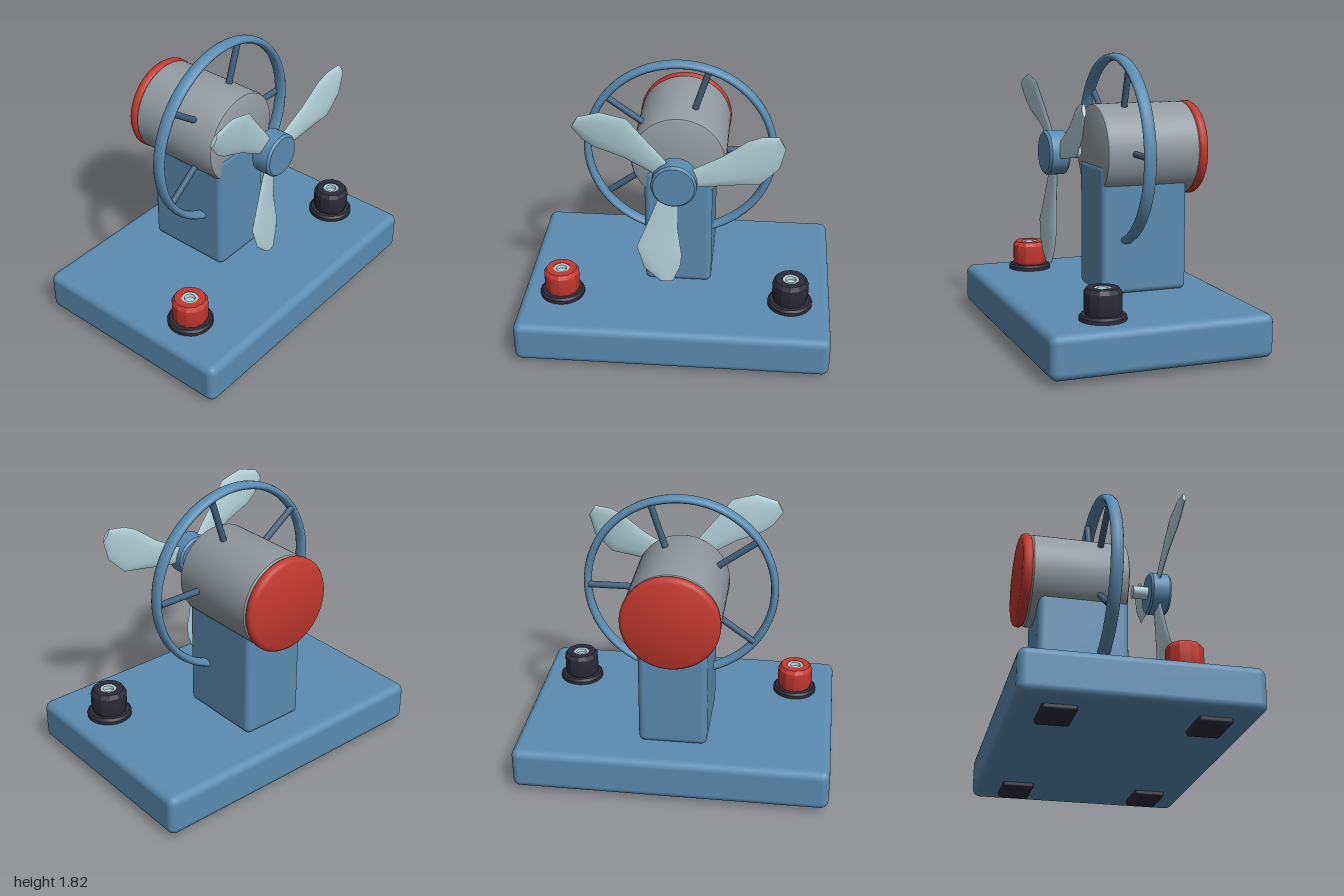
import * as THREE from 'three';
import { toCreasedNormals } from 'three/addons/utils/BufferGeometryUtils.js';
import { RoundedBoxGeometry } from 'three/addons/geometries/RoundedBoxGeometry.js';

const AXIS_Y = 1.2; // height of the motor axis

function material(name, color, options = {}) {
  const m = new THREE.MeshStandardMaterial({ color, ...options });
  m.name = name;
  return m;
}

// Turned part from [radius, height] pairs, bottom to top
function turned(profile, sides = 48, crease = 0.6) {
  const points = profile.map(([r, y]) => new THREE.Vector2(r, y));
  return toCreasedNormals(new THREE.LatheGeometry(points, sides), crease);
}

// Blade pointing down -y: lens sections joined from root to tip
function bladeGeometry() {
  // distance from axis, sideways centre, half width, z centre, half thickness
  const sections = [
    [0.08, -0.03, 0.05, 0.345, 0.012],
    [0.15, -0.045, 0.067, 0.347, 0.013],
    [0.34, -0.083, 0.102, 0.357, 0.015],
    [0.46, -0.1, 0.135, 0.366, 0.015],
    [0.53, -0.085, 0.13, 0.37, 0.015],
    [0.615, -0.078, 0.113, 0.374, 0.014],
    [0.712, -0.05, 0.042, 0.378, 0.012],
  ];
  const n = 12, positions = [], index = [];
  for (const [r, cx, hw, cz, ht] of sections) {
    for (let i = 0; i < n; i++) {
      const a = (i / n) * Math.PI * 2;
      const dx = Math.cos(a) * hw;
      positions.push(cx + dx, -r, cz + Math.sin(a) * ht - dx * 0.1);
    }
  }
  for (let s = 0; s < sections.length - 1; s++) {
    for (let i = 0; i < n; i++) {
      const a = s * n + i, b = s * n + ((i + 1) % n);
      index.push(a, a + n, b, b, a + n, b + n);
    }
  }
  const tip = (sections.length - 1) * n;
  for (let i = 1; i < n - 1; i++) index.push(tip, tip + i + 1, tip + i);
  const g = new THREE.BufferGeometry();
  g.setAttribute('position', new THREE.Float32BufferAttribute(positions, 3));
  g.setIndex(index);
  return toCreasedNormals(g, 0.9);
}

export function createModel() {
  const blue = material('blue paint', 0x5b8cb2);
  const darkBlue = material('dark blue spokes', 0x41607c);
  const grey = material('grey motor', 0x929ba1);
  const red = material('red', 0xc4392f);
  const black = material('black plastic', 0x2c2b3a);
  const pale = material('pale metal', 0xb2d0d9, { side: THREE.DoubleSide });

  const model = new THREE.Group();
  model.name = 'motorFan';
  const add = (name, geometry, mat, x = 0, y = 0, z = 0, parent = model) => {
    const mesh = new THREE.Mesh(geometry, mat);
    mesh.name = name;
    mesh.position.set(x, y, z);
    parent.add(mesh);
    return mesh;
  };

  // Base, feet and pillar
  add('base', new RoundedBoxGeometry(2, 0.27, 1.4, 4, 0.05), blue, 0, 0.165, 0);
  for (const x of [-0.72, 0.72])
    for (const z of [-0.44, 0.44])
      add('foot', new RoundedBoxGeometry(0.27, 0.06, 0.2, 2, 0.015), black, x, 0.03, z);
  add('pillar', new RoundedBoxGeometry(0.435, 0.83, 0.58, 4, 0.04), blue, 0, 0.71, -0.182);

  // Motor can and end cap, turned about the z axis
  const alongZ = (g) => g.rotateX(Math.PI / 2);
  add('motor', alongZ(turned([
    [0, -0.53], [0.285, -0.53], [0.3, -0.515], [0.3, 0.075], [0.293, 0.092], [0.275, 0.1], [0, 0.1],
  ], 64)), grey, 0, AXIS_Y, 0);
  add('endCap', alongZ(turned([
    [0, -0.588], [0.278, -0.588], [0.295, -0.58], [0.305, -0.565], [0.305, -0.543],
    [0.295, -0.528], [0.278, -0.52], [0, -0.52],
  ], 64, 0.9)), red, 0, AXIS_Y, 0);

  // Guard ring with five spokes
  const guard = new THREE.Group();
  guard.name = 'guard';
  guard.position.y = AXIS_Y;
  model.add(guard);
  add('guardRing', new THREE.TorusGeometry(0.594, 0.025, 12, 72).scale(1, 1, 1.65), blue, 0, 0, -0.057, guard);
  for (let i = 0; i < 5; i++) {
    const a = (i / 5) * Math.PI * 2;
    const spoke = add('spoke', new THREE.CylinderGeometry(0.021, 0.021, 0.31, 12), darkBlue,
      Math.cos(a) * 0.43, Math.sin(a) * 0.43, -0.084, guard);
    spoke.rotation.z = a - Math.PI / 2;
  }

  // Propeller: shaft, hub and three blades
  const propeller = new THREE.Group();
  propeller.name = 'propeller';
  propeller.position.y = AXIS_Y;
  model.add(propeller);
  add('shaft', alongZ(new THREE.CylinderGeometry(0.042, 0.042, 0.13, 24)), pale, 0, 0, 0.25, propeller);
  add('hub', alongZ(turned([
    [0, 0.285], [0.127, 0.285], [0.14, 0.298], [0.14, 0.405], [0.127, 0.42], [0, 0.42],
  ], 40)), blue, 0, 0, 0, propeller);
  const blade = bladeGeometry();
  for (let i = 0; i < 3; i++)
    add('blade', blade, pale, 0, 0, 0, propeller).rotation.z = (i / 3) * Math.PI * 2;

  // Terminal knobs: flange, faceted grip with a bore, and metal socket
  const flange = turned([[0, 0.295], [0.143, 0.295], [0.143, 0.322], [0.13, 0.336], [0, 0.336]], 32);
  const grip = turned([
    [0.1, 0.33], [0.108, 0.336], [0.116, 0.362], [0.115, 0.465], [0.098, 0.491], [0.053, 0.491], [0.053, 0.455],
  ], 12, 0.3);
  const socket = turned([
    [0.054, 0.46], [0.052, 0.488], [0.034, 0.486], [0.03, 0.465], [0, 0.465],
  ], 24);
  for (const [side, mat] of [[-1, red], [1, black]]) {
    const knob = new THREE.Group();
    knob.name = side > 0 ? 'leftTerminal' : 'rightTerminal';
    knob.position.set(side * 0.74, 0, 0.3);
    model.add(knob);
    add('flange', flange, black, 0, 0, 0, knob);
    add('grip', grip, mat, 0, 0, 0, knob);
    add('socket', socket, pale, 0, 0, 0, knob);
  }
  return model;
}
